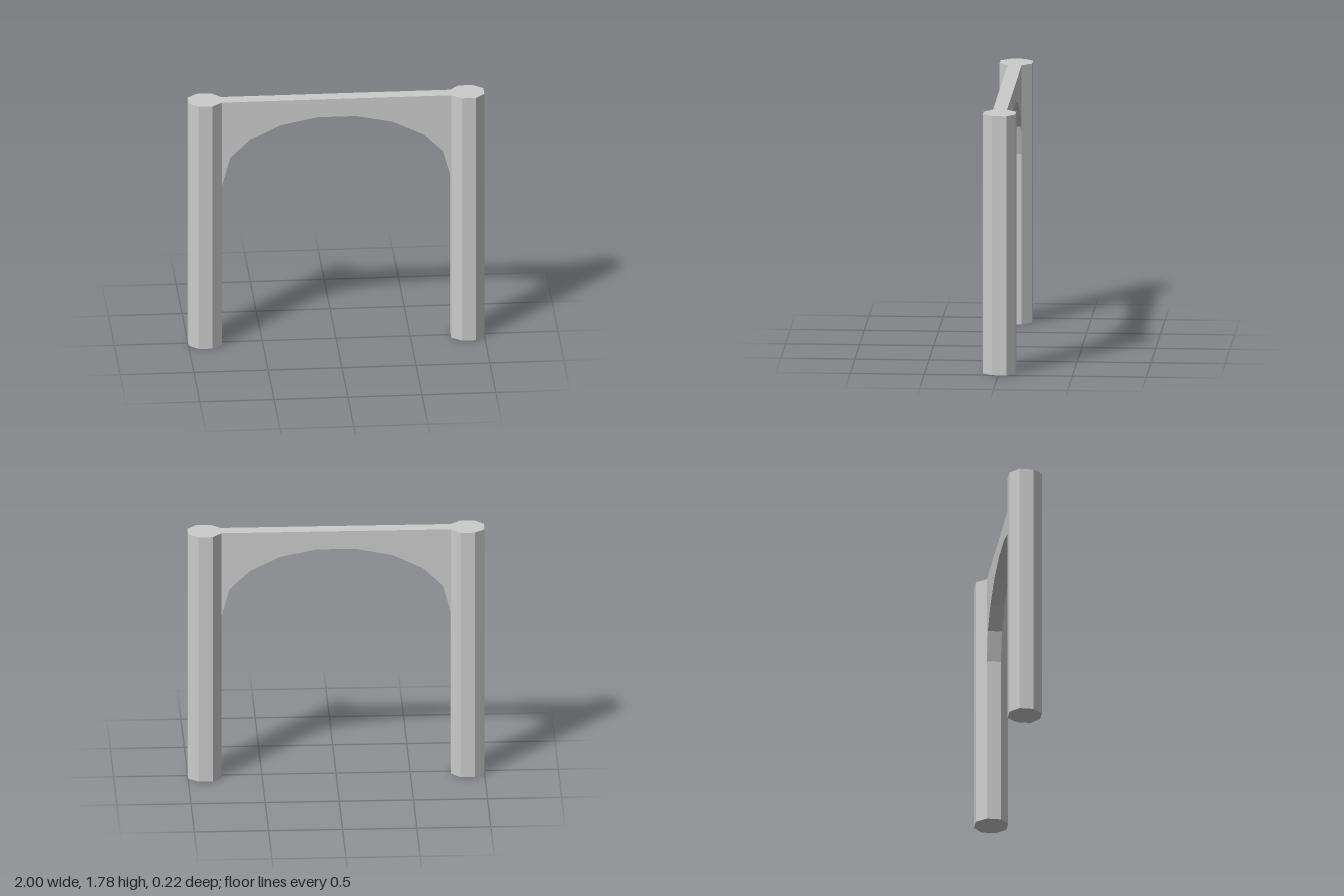
import * as THREE from 'three';

const HEIGHT = 1.78;

// Eight-sided column footprint as [x, z], for the +x side
const FOOTPRINT = [
  [1, 0.043], [1, -0.054], [0.932, -0.112], [0.835, -0.112],
  [0.775, -0.045], [0.775, 0.05], [0.843, 0.108], [0.938, 0.108],
];

// Half of the arch underside as [x, y], from springing to crown
const ARCH = [[0.775, 1.17], [0.72, 1.37], [0.585, 1.5], [0.38, 1.6], [0.13, 1.65]];

const toShape = (points) => new THREE.Shape(points.map(([x, y]) => new THREE.Vector2(x, y)));

export function createModel() {
  const group = new THREE.Group();
  const material = new THREE.MeshStandardMaterial({ color: 0xcccccc, flatShading: true });

  const add = (name, geometry) => {
    const mesh = new THREE.Mesh(geometry, material);
    mesh.name = name;
    group.add(mesh);
  };

  // Mirrored pair of columns, extruded upwards
  for (const [name, side] of [['leftColumn', 1], ['rightColumn', -1]]) {
    const shape = toShape(FOOTPRINT.map(([x, z]) => [side * x, -z]));
    const column = new THREE.ExtrudeGeometry(shape, { depth: HEIGHT, bevelEnabled: false });
    column.rotateX(-Math.PI / 2);
    add(name, column);
  }

  // Arched panel spanning the columns
  const outline = [
    [-0.775, HEIGHT],
    ...ARCH.map(([x, y]) => [-x, y]),
    ...[...ARCH].reverse(),
    [0.775, HEIGHT],
  ];
  const panel = new THREE.ExtrudeGeometry(toShape(outline), { depth: 0.095, bevelEnabled: false });
  panel.translate(0, 0, -0.045);
  add('archPanel', panel);

  return group;
}
